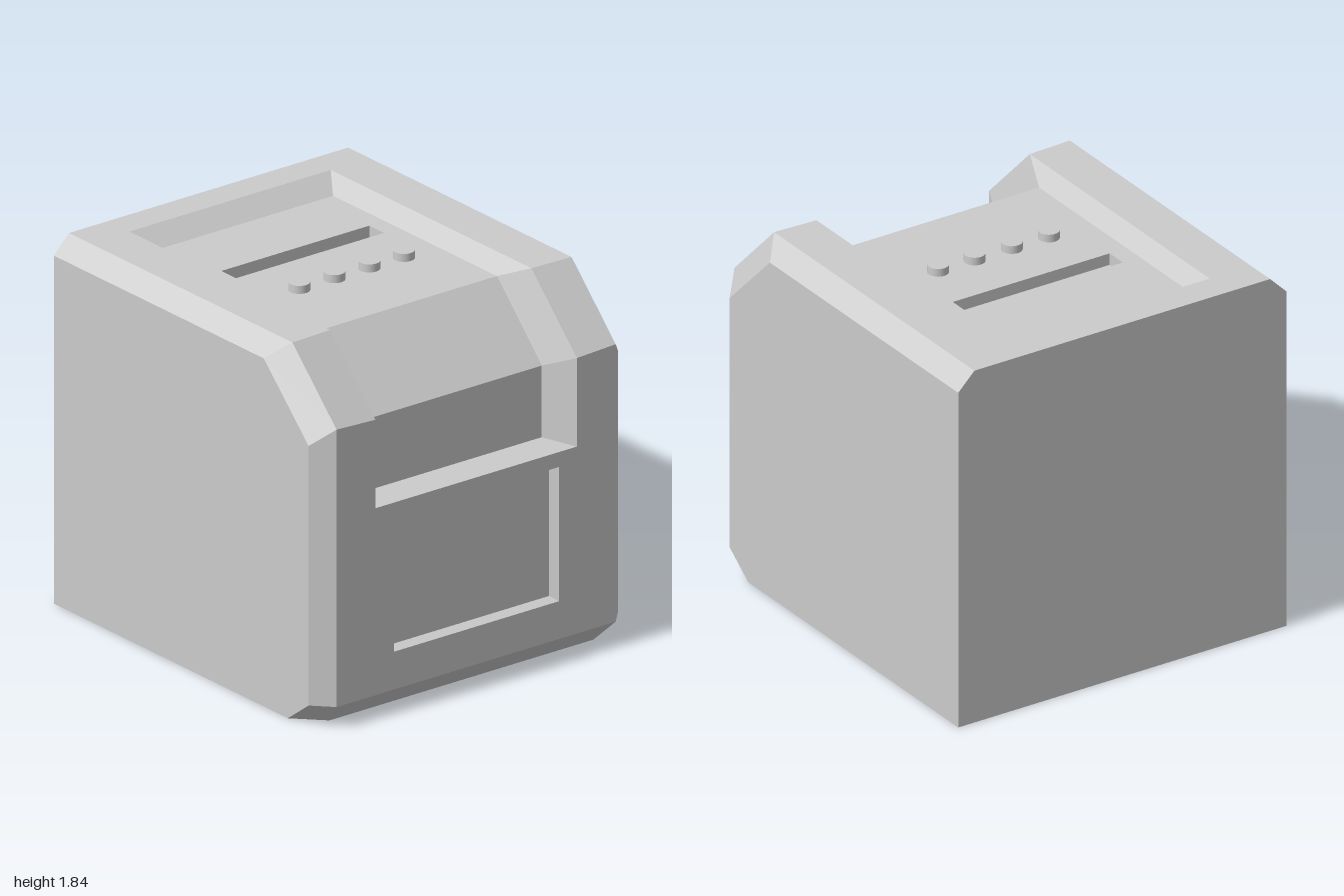
import * as THREE from 'three';

const material = new THREE.MeshStandardMaterial({ color: 0xcccccc });
const mirror = (pts) => pts.map(([x, y, z]) => [-x, y, z]);
// outline symmetric about x = 0, given its +x half
const symmetric = (half) => [...half, ...mirror(half).reverse()];

// Collects flat faces into one mesh
function surface(name) {
  const pos = [];
  const strip = (a, b, closed = false) => {
    const n = closed ? a.length : a.length - 1;
    for (let i = 0; i < n; i++) {
      const j = (i + 1) % a.length;
      pos.push(...a[i], ...a[j], ...b[j], ...a[i], ...b[j], ...b[i]);
    }
  };
  return {
    strip,
    // a strip on the +x side and its reflection
    stripPair(a, b) {
      strip(a, b);
      strip(mirror(b), mirror(a));
    },
    // flat polygon with holes, facing along the hint direction
    panel(outline, hint, holes = []) {
      const h = new THREE.Vector3(...hint);
      const drop = hint.map(Math.abs).indexOf(Math.max(...hint.map(Math.abs)));
      const flat = (p) => new THREE.Vector2(...p.filter((_, k) => k !== drop));
      const rings = [outline, ...holes].map((ring, k) => {
        const area = THREE.ShapeUtils.area(ring.map(flat));
        return (area > 0) === (k === 0) ? ring : [...ring].reverse();
      });
      const [contour, ...inner] = rings.map((r) => r.map(flat));
      const all = rings.flat();
      for (const t of THREE.ShapeUtils.triangulateShape(contour, inner)) {
        const [a, b, c] = t.map((i) => new THREE.Vector3(...all[i]));
        const n = b.clone().sub(a).cross(c.clone().sub(a));
        const order = n.dot(h) < 0 ? [a, c, b] : [a, b, c];
        order.forEach((v) => pos.push(v.x, v.y, v.z));
      }
    },
    mesh() {
      const g = new THREE.BufferGeometry();
      g.setAttribute('position', new THREE.Float32BufferAttribute(pos, 3));
      g.computeVertexNormals();
      const m = new THREE.Mesh(g, material);
      m.name = name;
      return m;
    },
  };
}

export function createModel() {
  const model = new THREE.Group();
  model.name = 'countertopMachine';

  // Profiles on the +x side, running from the back over the top to the front
  const edge = [[0.825, 1.84, -1], [0.825, 1.84, 0.67], [0.825, 1.51, 1], [0.825, 0.115, 1], [0.78, 0, 0.89]];
  const side = [[0.915, 1.75, -1], [0.915, 1.75, 0.57], [0.915, 1.42, 0.905], [0.915, 0.115, 0.905], [0.915, 0, 0.75]];
  const rim = [[0.595, 1.84, -0.84], [0.595, 1.84, 0.66], [0.595, 1.5, 1], [0.595, 1.055, 1]];
  const floor = [[0.53, 1.76, -0.74], [0.53, 1.76, 0.485], [0.53, 1.42, 0.82], [0.53, 1.06, 0.82]];
  const backCorner = [0.915, 0, -1];

  const windowRim = [[-0.485, 0.305, 1], [0.49, 0.305, 1], [0.49, 0.98, 1], [-0.485, 0.98, 1]];
  const windowPane = [[-0.46, 0.32, 0.95], [0.47, 0.32, 0.95], [0.47, 0.965, 0.95], [-0.46, 0.965, 0.95]];
  const slotRim = [[-0.435, 1.76, -0.245], [0.44, 1.76, -0.245], [0.44, 1.76, -0.355], [-0.435, 1.76, -0.355]];
  const slotFloor = slotRim.map(([x, , z]) => [x, 1.7, z]);

  // Chamfered outer casing
  const casing = surface('casing');
  casing.stripPair(edge, side);
  casing.panel([...side, backCorner], [1, 0, 0]);
  casing.panel(mirror([...side, backCorner]), [-1, 0, 0]);
  casing.panel(symmetric([backCorner, side[0], edge[0]]), [0, 0, -1]);
  casing.panel(symmetric([backCorner, side[4], edge[4]]), [0, -1, 0]);
  casing.panel(symmetric([edge[3], edge[4]]), [0, -1, 1]);
  casing.panel(symmetric([edge[0], edge[1], rim[1], rim[0]]), [0, 1, 0]);
  casing.stripPair([rim[1], rim[2]], [edge[1], edge[2]]);
  casing.panel(symmetric([edge[3], edge[2], rim[2], rim[3]]), [0, 0, 1], [windowRim]);
  model.add(casing.mesh());

  // Sunken channel over the top and down the front
  const channel = surface('sunkenChannel');
  channel.stripPair(floor, rim);
  channel.panel(symmetric([rim[0], floor[0]]), [0, 1, 0.8]);
  channel.panel(symmetric([floor[0], floor[1]]), [0, 1, 0], [slotRim]);
  channel.panel(symmetric([floor[1], floor[2]]), [0, 1, 0.9]);
  channel.panel(symmetric([floor[2], floor[3]]), [0, 0, 1]);
  channel.panel(symmetric([floor[3], rim[3]]), [0, 1, 0]);
  model.add(channel.mesh());

  // Recessed front window
  const pane = surface('frontWindow');
  pane.strip(windowRim, windowPane, true);
  pane.panel(windowPane, [0, 0, 1]);
  model.add(pane.mesh());

  // Slot in the top
  const slot = surface('topSlot');
  slot.strip(slotRim, slotFloor, true);
  slot.panel(slotFloor, [0, 1, 0]);
  model.add(slot.mesh());

  // Row of round buttons
  const buttons = new THREE.Group();
  buttons.name = 'buttons';
  for (const x of [-0.29, -0.083, 0.124, 0.328]) {
    const button = new THREE.Mesh(new THREE.CylinderGeometry(0.051, 0.051, 0.06, 32), material);
    button.name = 'button';
    button.position.set(x, 1.77, 0.045);
    buttons.add(button);
  }
  model.add(buttons);

  return model;
}
